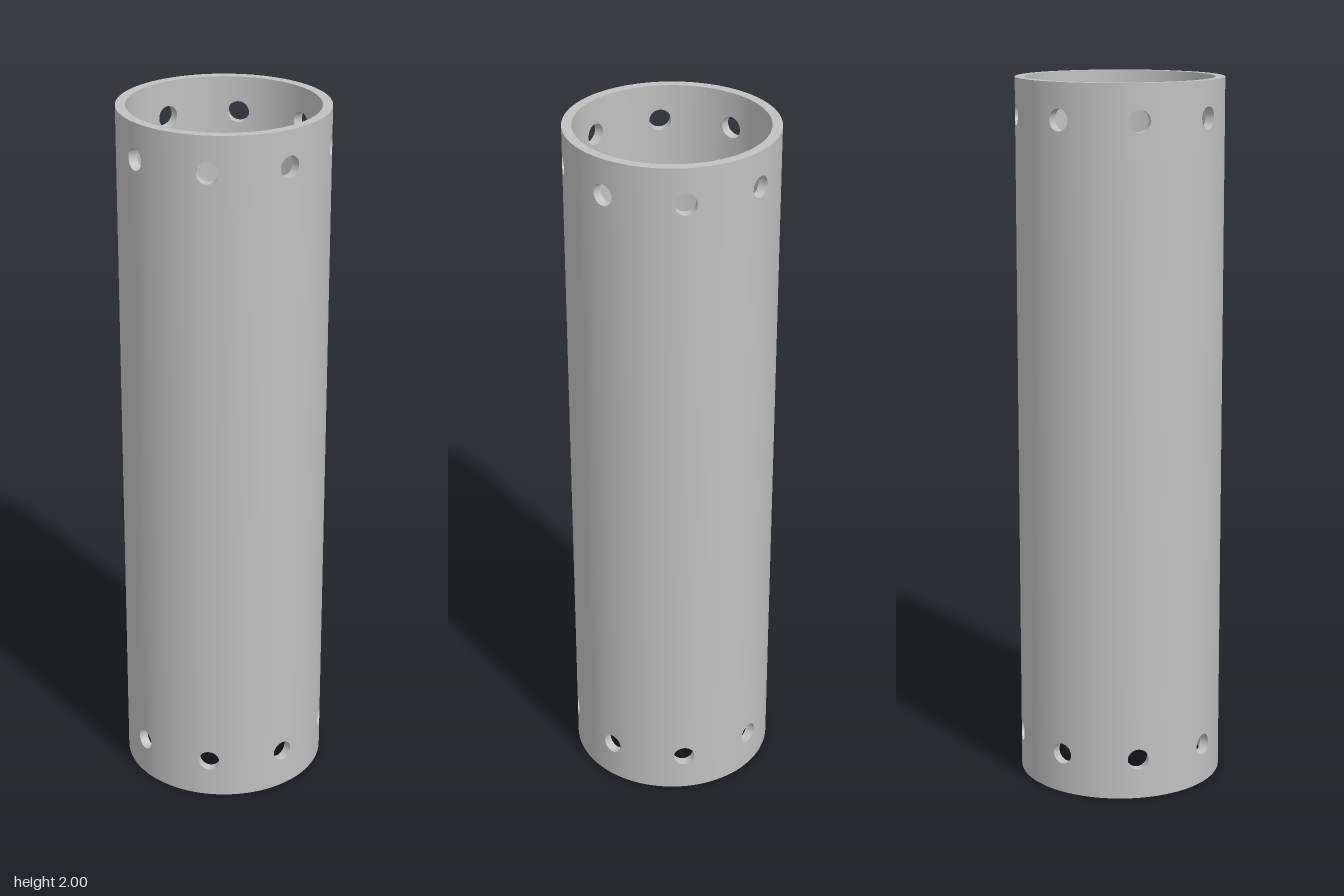
import * as THREE from 'three';
import { mergeGeometries } from 'three/addons/utils/BufferGeometryUtils.js';

const OUTER = 0.289, INNER = 0.262, HEIGHT = 2;
const HOLES = 8, HOLE_R = 0.03, SIDE = 16, SEGMENTS = HOLES * SIDE;
const STEP = (Math.PI * 2) / HOLES;

// Surface from a rule fn(i, j) giving [position, normal]; flip reverses the faces
function grid(rows, cols, fn, flip = false) {
  const pos = [], nor = [], idx = [];
  for (let i = 0; i <= rows; i++) {
    for (let j = 0; j <= cols; j++) {
      const [p, n] = fn(i, j);
      pos.push(...p);
      nor.push(...n);
      if (i === rows || j === cols) continue;
      const a = i * (cols + 1) + j, b = a + cols + 1;
      if (flip) idx.push(a, b + 1, b, a, a + 1, b + 1);
      else idx.push(a, b, b + 1, a, b + 1, a + 1);
    }
  }
  const g = new THREE.BufferGeometry();
  g.setAttribute('position', new THREE.Float32BufferAttribute(pos, 3));
  g.setAttribute('normal', new THREE.Float32BufferAttribute(nor, 3));
  g.setIndex(idx);
  return g;
}

// Point and radial normal on a cylinder of radius r
function onWall(r, angle, y, sign) {
  const s = Math.sin(angle), c = Math.cos(angle);
  return [[r * s, y, r * c], [sign * s, 0, sign * c]];
}

// Counter-clockwise walk round the square from -1 to 1
function square(j) {
  const side = Math.floor(j / SIDE) % 4, t = ((j % SIDE) / SIDE) * 2 - 1;
  return [[1, t], [-t, 1], [-1, -t], [t, -1]][side];
}

// Curved panel one step wide with a round hole in its middle
function panel(r, centre, y, half, inside) {
  const sign = inside ? -1 : 1, rings = 8;
  return grid(rings, SIDE * 4, (i, j) => {
    const [u, v] = square(j), a = Math.atan2(v, u), t = i / rings;
    const holeAngle = Math.asin((HOLE_R * Math.cos(a)) / r);
    const angle = THREE.MathUtils.lerp(holeAngle, (u * STEP) / 2, t);
    const dy = THREE.MathUtils.lerp(HOLE_R * Math.sin(a), v * half, t);
    return onWall(r, centre + angle, y + dy, sign);
  }, inside);
}

// Wall of one drilled hole, from the outer to the inner surface
function bore(centre, y) {
  return grid(1, SIDE * 4, (i, j) => {
    const [u, v] = square(j), a = Math.atan2(v, u);
    const x = HOLE_R * Math.cos(a), r = i ? INNER : OUTER;
    return [
      [x, y + HOLE_R * Math.sin(a), Math.sqrt(r * r - x * x)],
      [-Math.cos(a), -Math.sin(a), 0],
    ];
  }, true).rotateY(centre);
}

export function createModel() {
  const group = new THREE.Group();
  group.name = 'perforatedTube';
  const metal = new THREE.MeshStandardMaterial({ color: 0xc0c0c0 });
  metal.name = 'grey metal';
  const add = (name, geometry) => {
    const mesh = new THREE.Mesh(geometry, metal);
    mesh.name = name;
    group.add(mesh);
  };

  // Bands of holes near both ends
  const bands = [
    { name: 'lowerHoleBand', y: 0.115, half: 0.115 },
    { name: 'upperHoleBand', y: 1.9, half: 0.1 },
  ];
  for (const { name, y, half } of bands) {
    const parts = [];
    for (let k = 0; k < HOLES; k++) {
      const centre = k * STEP;
      parts.push(panel(OUTER, centre, y, half, false));
      parts.push(panel(INNER, centre, y, half, true));
      parts.push(bore(centre, y));
    }
    add(name, mergeGeometries(parts));
  }

  // Plain wall between the bands
  const low = bands[0].y + bands[0].half, high = bands[1].y - bands[1].half;
  for (const [name, r, inside] of [['outerWall', OUTER, false], ['innerWall', INNER, true]]) {
    add(name, grid(1, SEGMENTS, (i, j) =>
      onWall(r, ((j + SIDE / 2) / SEGMENTS) * Math.PI * 2, i ? high : low, inside ? -1 : 1), !inside));
  }

  // Flat rims at both ends
  const rim = () => new THREE.RingGeometry(INNER, OUTER, SEGMENTS);
  add('topRim', rim().rotateX(-Math.PI / 2).translate(0, HEIGHT, 0));
  add('bottomRim', rim().rotateX(Math.PI / 2));
  return group;
}
